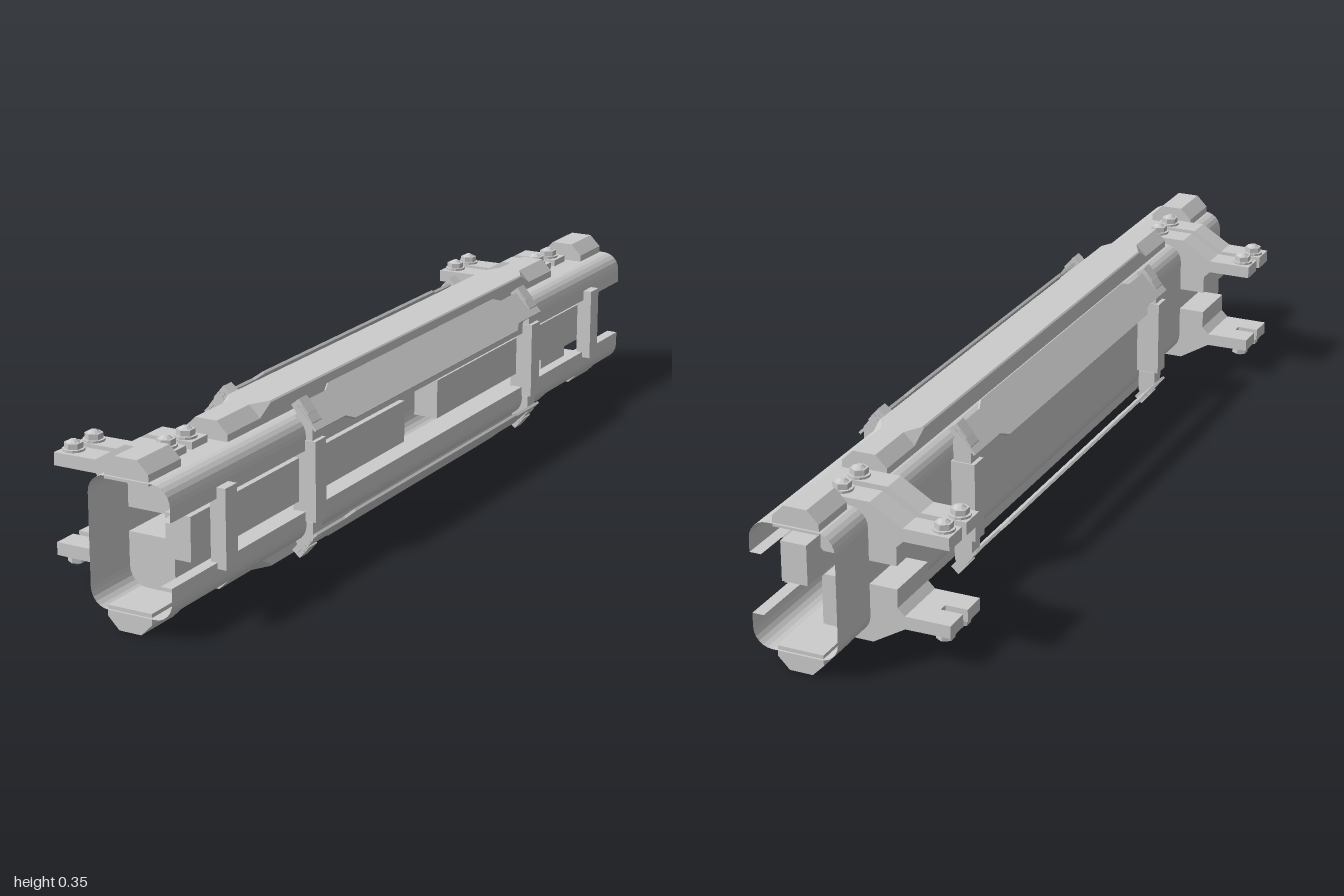
import * as THREE from 'three';

const MID_Y = 0.175; // height of the long axis; parts below are measured from it
const MID_X = 0.053; // plane that mirrors the side fittings
const mat = new THREE.MeshStandardMaterial({ color: 0xcccccc, flatShading: true });
const shellMat = new THREE.MeshStandardMaterial({ color: 0xcccccc, side: THREE.DoubleSide });

function add(parent, name, geometry, material = mat) {
  const mesh = new THREE.Mesh(geometry, material);
  mesh.name = name;
  parent.add(mesh);
  return mesh;
}

function box(parent, name, x0, x1, y0, y1, z0, z1) {
  const mesh = add(parent, name, new THREE.BoxGeometry(x1 - x0, y1 - y0, z1 - z0));
  mesh.position.set((x0 + x1) / 2, (y0 + y1) / 2, (z0 + z1) / 2);
  return mesh;
}

// Straight prism of an xy outline between two z values
function prism(points, z0, z1) {
  const shape = new THREE.Shape(points.map(p => new THREE.Vector2(...p)));
  return new THREE.ExtrudeGeometry(shape, { depth: z1 - z0, bevelEnabled: false }).translate(0, 0, z0);
}

// Solid skinned over equal-sized counter-clockwise sections, ordered by rising z
function loft(sections) {
  const n = sections[0].pts.length, pos = [], index = [];
  sections.forEach(s => s.pts.forEach(([x, y]) => pos.push(x, y, s.z)));
  for (let s = 0; s < sections.length - 1; s++)
    for (let i = 0; i < n; i++) {
      const a = s * n + i, b = s * n + (i + 1) % n;
      index.push(a, b, b + n, a, b + n, a + n);
    }
  const last = (sections.length - 1) * n;
  for (let i = 1; i < n - 1; i++) {
    index.push(0, i + 1, i);
    index.push(last, last + i, last + i + 1);
  }
  const g = new THREE.BufferGeometry();
  g.setAttribute('position', new THREE.Float32BufferAttribute(pos, 3));
  g.setIndex(index);
  const flat = g.toNonIndexed();
  flat.computeVertexNormals();
  return flat;
}

// Lipped C-channel of thin sheet, open towards +x
function beamGeometry() {
  const x0 = -0.025, x1 = 0.16, top = 0.135, r = 0.04;
  const upper = [[0.135, 0.065], [x1, 0.065]];
  const arc = (cx, from) => {
    for (let i = 0; i <= 6; i++) {
      const a = from + (i / 6) * Math.PI / 2;
      upper.push([cx + r * Math.cos(a), top - r + r * Math.sin(a)]);
    }
  };
  arc(x1 - r, 0);
  arc(x0 + r, Math.PI / 2);
  const path = [...upper, ...upper.slice().reverse().map(([x, y]) => [x, -y])];
  const pos = [];
  for (let i = 0; i < path.length - 1; i++) {
    const [ax, ay] = path[i], [bx, by] = path[i + 1];
    pos.push(ax, ay, 1, ax, ay, -1, bx, by, -1, ax, ay, 1, bx, by, -1, bx, by, 1);
  }
  const g = new THREE.BufferGeometry();
  g.setAttribute('position', new THREE.Float32BufferAttribute(pos, 3));
  g.computeVertexNormals();
  return g;
}

function bolt(parent, x, y, z) {
  const g = new THREE.Group();
  g.name = 'bolt';
  add(g, 'washer', new THREE.CylinderGeometry(0.023, 0.023, 0.005, 12)).position.y = 0.0025;
  add(g, 'hexHead', new THREE.CylinderGeometry(0.019, 0.019, 0.012, 6)).position.y = 0.011;
  add(g, 'boltTip', new THREE.CylinderGeometry(0.006, 0.014, 0.006, 8)).position.y = 0.02;
  g.position.set(x, y, z);
  parent.add(g);
}

// Clamp bracket: inner block, split flange, two bent straps and their bolts
function bracket(parent, zc) {
  const g = new THREE.Group();
  g.name = 'clampBracket';
  g.position.z = zc;
  parent.add(g);
  add(g, 'clampBlock', prism([[-0.15, 0.08], [-0.1, 0.08], [-0.085, 0.065], [-0.085, 0.025], [0.074, 0.025],
    [0.08, 0.031], [0.08, 0.134], [-0.025, 0.134], [-0.09, 0.095], [-0.15, 0.095]], -0.065, 0.065));
  for (const s of [-1, 1]) {
    const z0 = s * 0.0375 - 0.0275, z1 = z0 + 0.055;
    box(g, 'flangeTab', -0.198, -0.15, 0.08, 0.095, z0, z1);
    add(g, 'bentStrap', prism([[-0.198, 0.095], [-0.09, 0.095], [-0.025, 0.134], [0.075, 0.134],
      [0.075, 0.15], [-0.03, 0.15], [-0.1, 0.108], [-0.198, 0.107]], z0, z1));
    bolt(g, -0.172, 0.107, s * 0.0345);
    bolt(g, 0.045, 0.15, s * 0.0345);
  }
}

// Cap section; c is the chamfer on its two outer corners
const capSection = (z, c, top = 0.175) => ({
  z, pts: [[0.01, 0.127], [0.11, 0.127], [0.11, top - c], [0.11 - c, top], [0.01 + c, top], [0.01, top - c]],
});

// Everything on the upper half; turned over, it also makes the lower half
function buildHalf() {
  const half = new THREE.Group();
  add(half, 'longCap', loft([capSection(-0.72, 0.025), capSection(-0.6, 0.025), capSection(-0.56, 0.003),
    capSection(0.56, 0.003), capSection(0.6, 0.025), capSection(0.72, 0.025)]));
  for (const s of [-1, 1]) {
    add(half, 'endCap', loft([capSection(s * 0.94 - 0.055, 0.025), capSection(s * 0.94 + 0.055, 0.025)]));
    bracket(half, s * 0.803);
  }
  return half;
}

// Slanted guard plate and clips along one upper corner
function buildCornerGuard() {
  const g = new THREE.Group();
  const plate = new THREE.Shape([[0.012, -0.51], [0.078, -0.51], [0.078, -0.395], [0.092, -0.37], [0.092, 0.37],
    [0.078, 0.395], [0.078, 0.51], [0.012, 0.51], [0.012, 0.395], [0, 0.37], [0, -0.37], [0.012, -0.395]]
    .map(p => new THREE.Vector2(...p)));
  const geo = new THREE.ExtrudeGeometry(plate, { depth: 0.006, bevelEnabled: false });
  geo.rotateX(-Math.PI / 2).rotateZ(-Math.PI / 4).translate(0.127, 0.162, 0);
  add(g, 'guardPlate', geo);
  for (const s of [-1, 1]) {
    const clip = box(g, 'guardClip', 0.127, 0.163, 0.137, 0.16, s * 0.49 - 0.016, s * 0.49 + 0.016);
    clip.rotation.z = -0.87;
  }
  return g;
}

// Upright straps that tie the upper and lower guards of one side
function buildSide() {
  const g = new THREE.Group();
  const ends = [[0.175, 0.087], [0.175, 0.125], [0.15, 0.157], [0.135, 0.135], [0.135, 0.087]];
  for (const s of [-1, 1]) {
    const z = s * 0.49;
    box(g, 'uprightStrap', 0.131, 0.184, -0.085, 0.087, z - 0.021, z + 0.021);
    add(g, 'strapTop', prism(ends, z - 0.018, z + 0.018));
    add(g, 'strapFoot', prism(ends.map(([x, y]) => [x, -y]), z - 0.018, z + 0.018));
  }
  for (const turn of [0, Math.PI]) {
    const guard = buildCornerGuard();
    guard.name = turn ? 'lowerGuard' : 'upperGuard';
    guard.rotation.x = turn;
    g.add(guard);
  }
  return g;
}

export function createModel() {
  const model = new THREE.Group();
  model.name = 'beamAssembly';
  const core = new THREE.Group();
  core.name = 'core';
  core.position.y = MID_Y;
  model.add(core);

  add(core, 'channelBeam', beamGeometry(), shellMat);

  // Caps and brackets, above and below
  for (const turn of [0, Math.PI]) {
    const half = buildHalf();
    half.name = turn ? 'lowerFittings' : 'upperFittings';
    half.rotation.x = turn;
    core.add(half);
  }

  // Guards and straps, left and right
  for (const turn of [0, Math.PI]) {
    const side = buildSide();
    side.name = turn ? 'rightGuards' : 'leftGuards';
    side.rotation.y = turn;
    if (turn) side.position.x = 2 * MID_X;
    core.add(side);
  }

  // Long boxes inside the channel and the short bars across its opening
  box(core, 'frontInnerBox', 0.088, 0.145, -0.045, 0.047, 0.07, 0.91);
  box(core, 'rearInnerBox', 0.088, 0.145, -0.035, 0.052, -0.91, -0.08);
  for (const s of [-1, 1])
    box(core, 'crossBar', 0.145, 0.18, -0.078, 0.088, s * 0.82 - 0.021, s * 0.82 + 0.021);

  return model;
}
